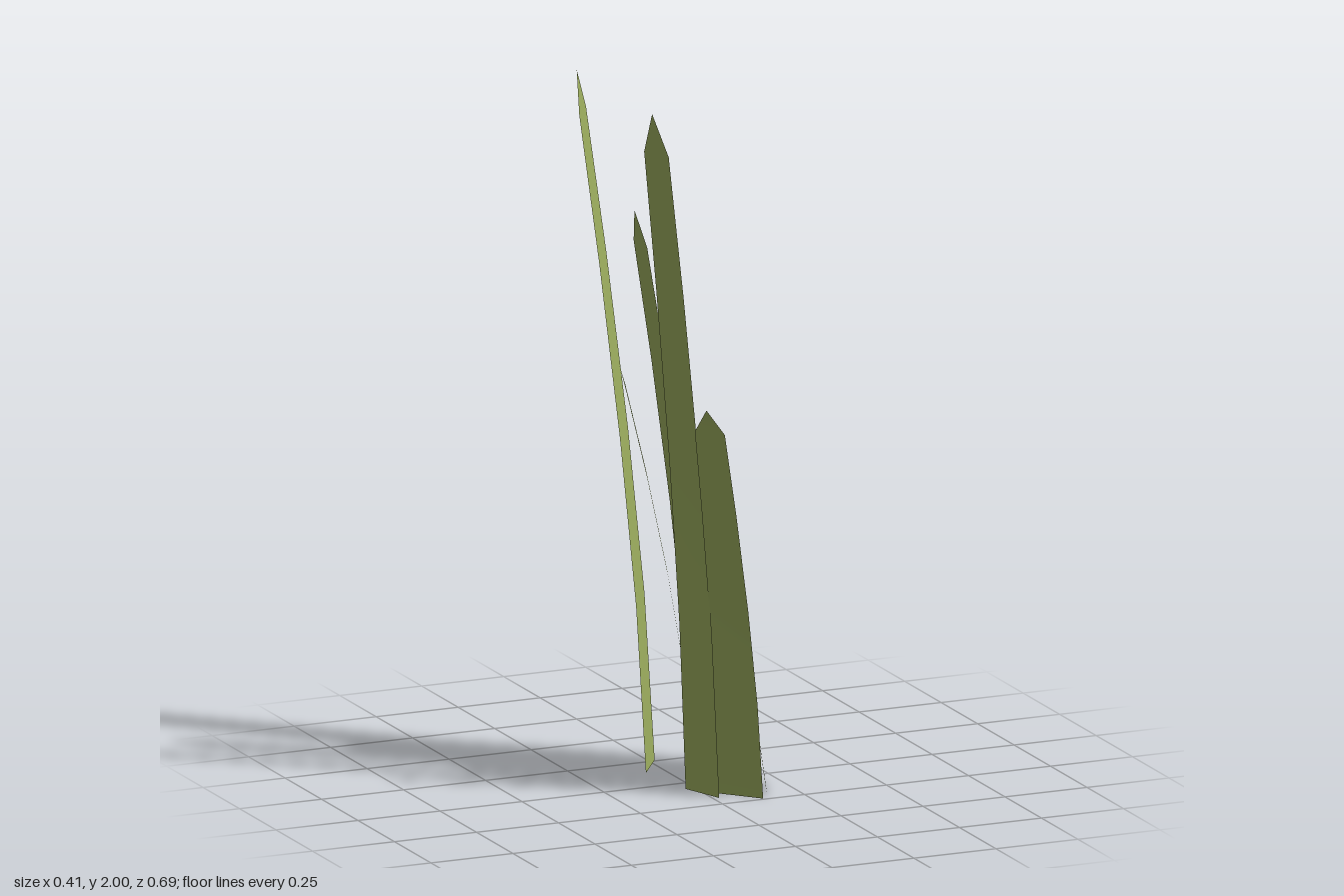
import * as THREE from 'three';

// Each blade: height, then [x, z] of two base corners, two shoulder corners and the tip
const BLADES = [
  { h: 2.0, base: [[-0.06, -0.14], [0.02, -0.26]], shoulder: [[-0.204, -0.273], [-0.15, -0.348]], tip: [-0.192, -0.318] },
  { h: 1.16, base: [[0.069, -0.09], [0.12, -0.222]], shoulder: [[-0.1, -0.182], [-0.066, -0.268]], tip: [-0.1, -0.233] },
  { h: 1.67, base: [[0.05, 0.072], [0.05, -0.065]], shoulder: [[-0.141, 0.051], [-0.141, -0.042]], tip: [-0.159, 0.004] },
  { h: 1.16, base: [[0.132, 0.065], [0.177, -0.07]], shoulder: [[-0.042, -0.019], [-0.012, -0.106]], tip: [-0.044, -0.067] },
  { h: 0.86, base: [[0.15, 0.22], [0.202, 0.088]], shoulder: [[-0.019, 0.127], [0.016, 0.041]], tip: [-0.018, 0.078] },
  { h: 2.0, base: [[0.018, 0.187], [-0.028, 0.06]], shoulder: [[-0.16, 0.241], [-0.197, 0.156]], tip: [-0.195, 0.206] },
  { h: 1.16, base: [[0.127, 0.243], [0.035, 0.14]], shoulder: [[-0.035, 0.345], [-0.095, 0.274]], tip: [-0.08, 0.32] },
];

const SHOULDER = 0.94;                     // height share where the point begins
const LEVELS = [0, 0.24, 0.48, 0.73, SHOULDER];

function bladeGeometry({ h, base, shoulder, tip }) {
  const pos = [], index = [];
  // Rows of two corners that lean outward more and more with height
  LEVELS.forEach((level, row) => {
    const lean = Math.pow(level / SHOULDER, 1.4);
    for (let side = 0; side < 2; side++) {
      const [x0, z0] = base[side], [x1, z1] = shoulder[side];
      pos.push(x0 + (x1 - x0) * lean, level * h, z0 + (z1 - z0) * lean);
    }
    const a = row * 2;
    if (row < LEVELS.length - 1) index.push(a, a + 1, a + 3, a, a + 3, a + 2);
    else index.push(a, a + 1, a + 2);
  });
  pos.push(tip[0], h, tip[1]);

  const geo = new THREE.BufferGeometry();
  geo.setAttribute('position', new THREE.Float32BufferAttribute(pos, 3));
  geo.setIndex(index);
  geo.computeVertexNormals();
  return geo;
}

export function createModel() {
  const group = new THREE.Group();
  group.name = 'grassTuft';
  const green = new THREE.MeshStandardMaterial({ color: 0x9cad5e, side: THREE.DoubleSide });
  green.name = 'grassGreen';

  BLADES.forEach((blade, i) => {
    const mesh = new THREE.Mesh(bladeGeometry(blade), green);
    mesh.name = `grassBlade${i + 1}`;
    group.add(mesh);
  });
  return group;
}
